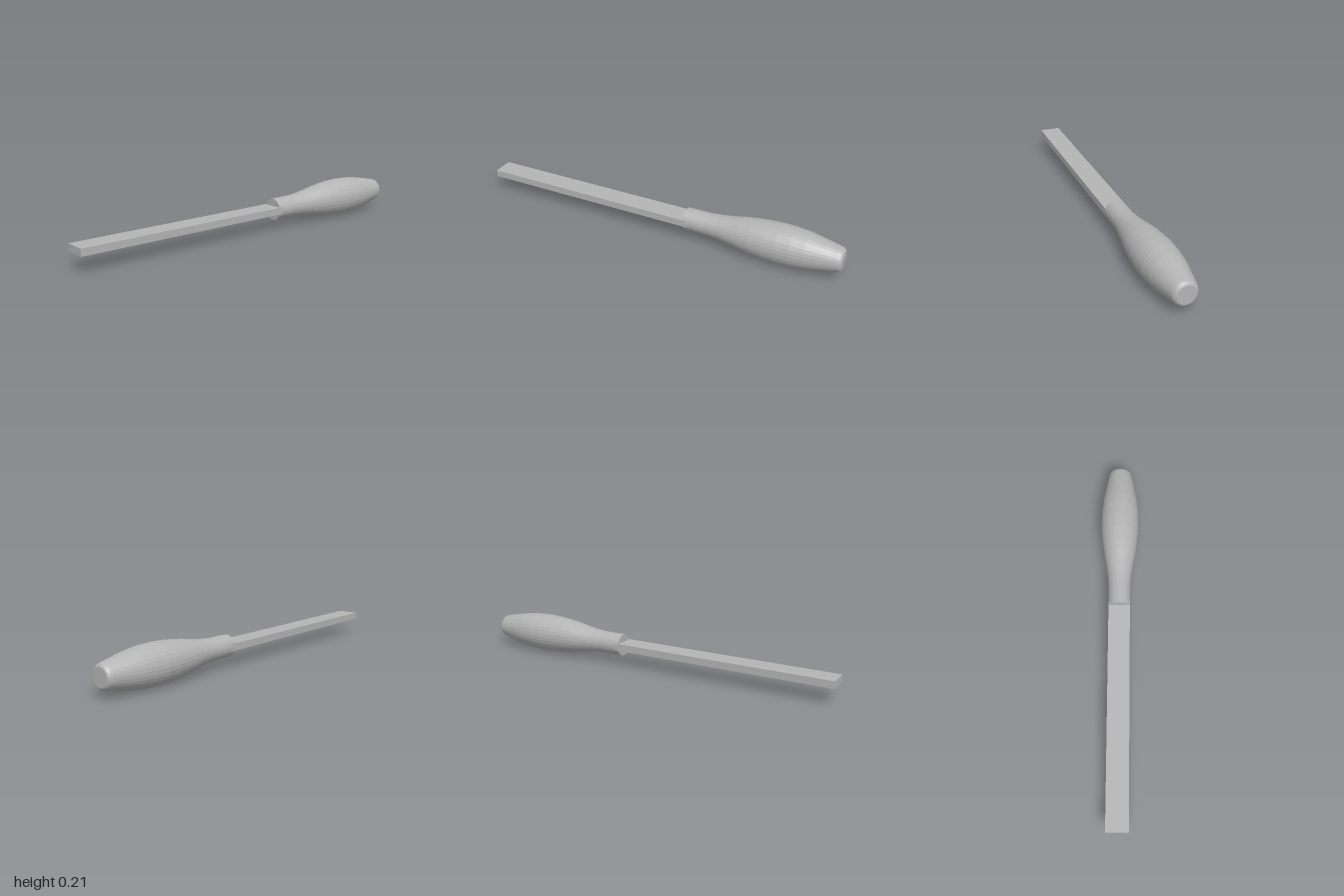
import * as THREE from 'three';

const AXIS_Y = 0.104;

export function createModel() {
  const group = new THREE.Group();
  const grey = new THREE.MeshStandardMaterial({ color: 0xb4b4b4, flatShading: true });
  grey.name = 'plain grey';

  // Flat rectangular bar, its end tucked into the handle
  const blade = new THREE.Mesh(new THREE.BoxGeometry(1.2, 0.037, 0.114), grey);
  blade.name = 'blade';
  blade.position.set(-0.4, AXIS_Y, 0);
  group.add(blade);

  // Turned handle: [position along x, radius] from ferrule to butt
  const profile = [
    [0.176, 0], [0.176, 0.058], [0.3, 0.059], [0.36, 0.064], [0.42, 0.073],
    [0.48, 0.084], [0.54, 0.093], [0.61, 0.1], [0.68, 0.103], [0.75, 0.101],
    [0.82, 0.094], [0.88, 0.083], [0.93, 0.073], [0.975, 0.064],
    [0.988, 0.06], [0.996, 0.054], [1, 0.047], [1, 0],
  ].map(([x, r]) => new THREE.Vector2(r, x));
  const handleGeometry = new THREE.LatheGeometry(profile, 32);
  handleGeometry.rotateZ(-Math.PI / 2);
  const handle = new THREE.Mesh(handleGeometry, grey);
  handle.name = 'handle';
  handle.position.y = AXIS_Y;
  group.add(handle);

  return group;
}
